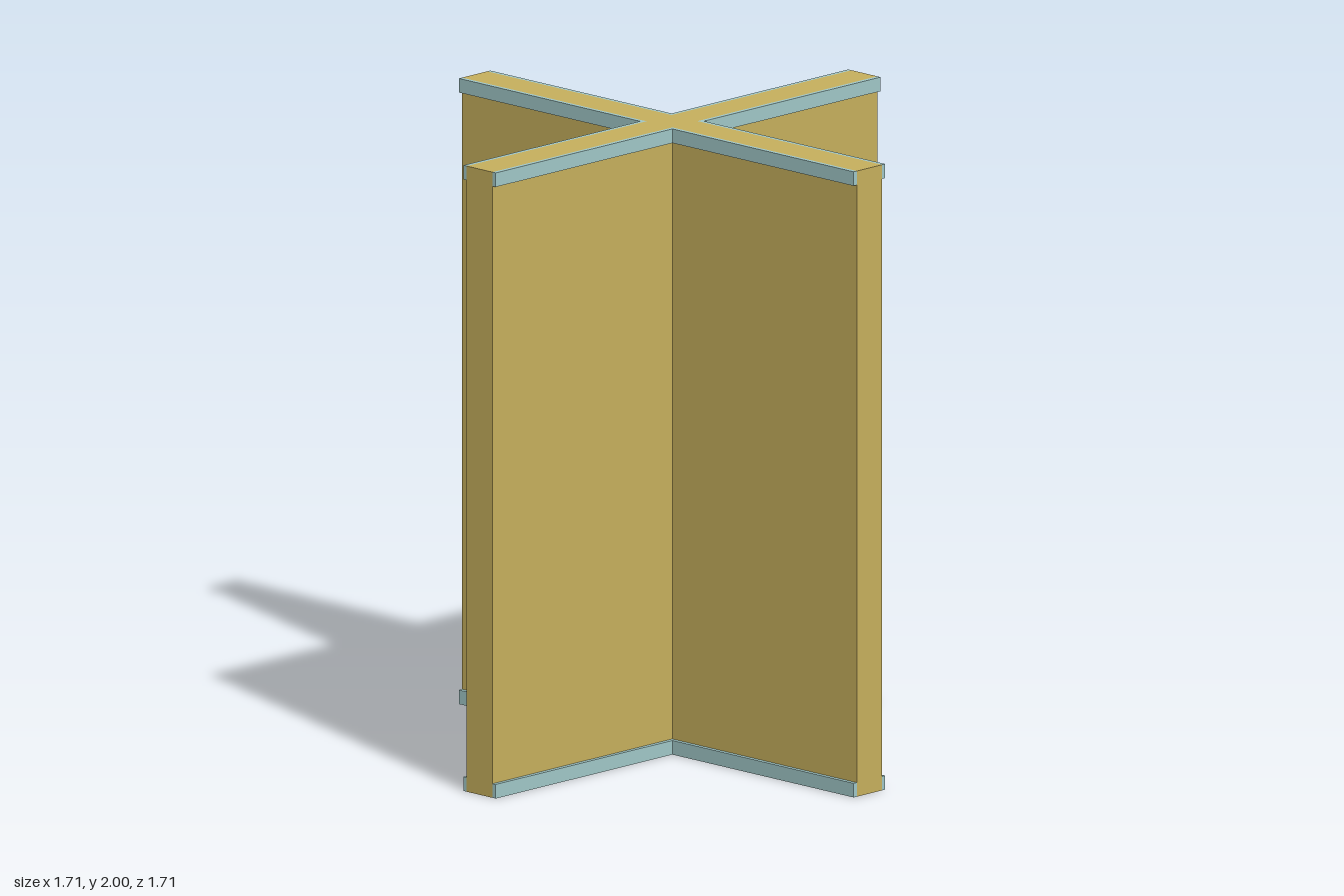
import * as THREE from 'three';

const HEIGHT = 2, REACH = 0.855, WALL = 0.056, RIM = 0.07, STRIP = 0.045;

// Extrudes a plan outline upwards from y = 0
function extrudeUp(points, height) {
  const shape = new THREE.Shape(points.map(([x, z]) => new THREE.Vector2(x, z)));
  const geometry = new THREE.ExtrudeGeometry(shape, { depth: height, bevelEnabled: false });
  return geometry.rotateX(-Math.PI / 2);
}

export function createModel() {
  const gold = new THREE.MeshStandardMaterial({ color: 0xc8b15e });
  gold.name = 'ochre panel';
  const blue = new THREE.MeshStandardMaterial({ color: 0xa2c9c9 });
  blue.name = 'pale blue trim';

  const group = new THREE.Group();
  group.name = 'crossWall';

  // Cross-shaped wall core
  const R = REACH, W = WALL;
  const core = new THREE.Mesh(extrudeUp([
    [R, -W], [R, W], [W, W], [W, R], [-W, R], [-W, W],
    [-R, W], [-R, -W], [-W, -W], [-W, -R], [W, -R], [W, -W],
  ], HEIGHT), gold);
  core.name = 'wallCore';
  group.add(core);

  // L-shaped trim strips in each inner corner, along the base and the top
  const trim = extrudeUp([[W, W], [R, W], [R, RIM], [RIM, RIM], [RIM, R], [W, R]], STRIP);
  for (const [name, y] of [['baseTrim', 0], ['topTrim', HEIGHT - STRIP]]) {
    for (let i = 0; i < 4; i++) {
      const strip = new THREE.Mesh(trim, blue);
      strip.name = name + (i + 1);
      strip.position.y = y;
      strip.rotation.y = i * Math.PI / 2;
      group.add(strip);
    }
  }
  return group;
}
